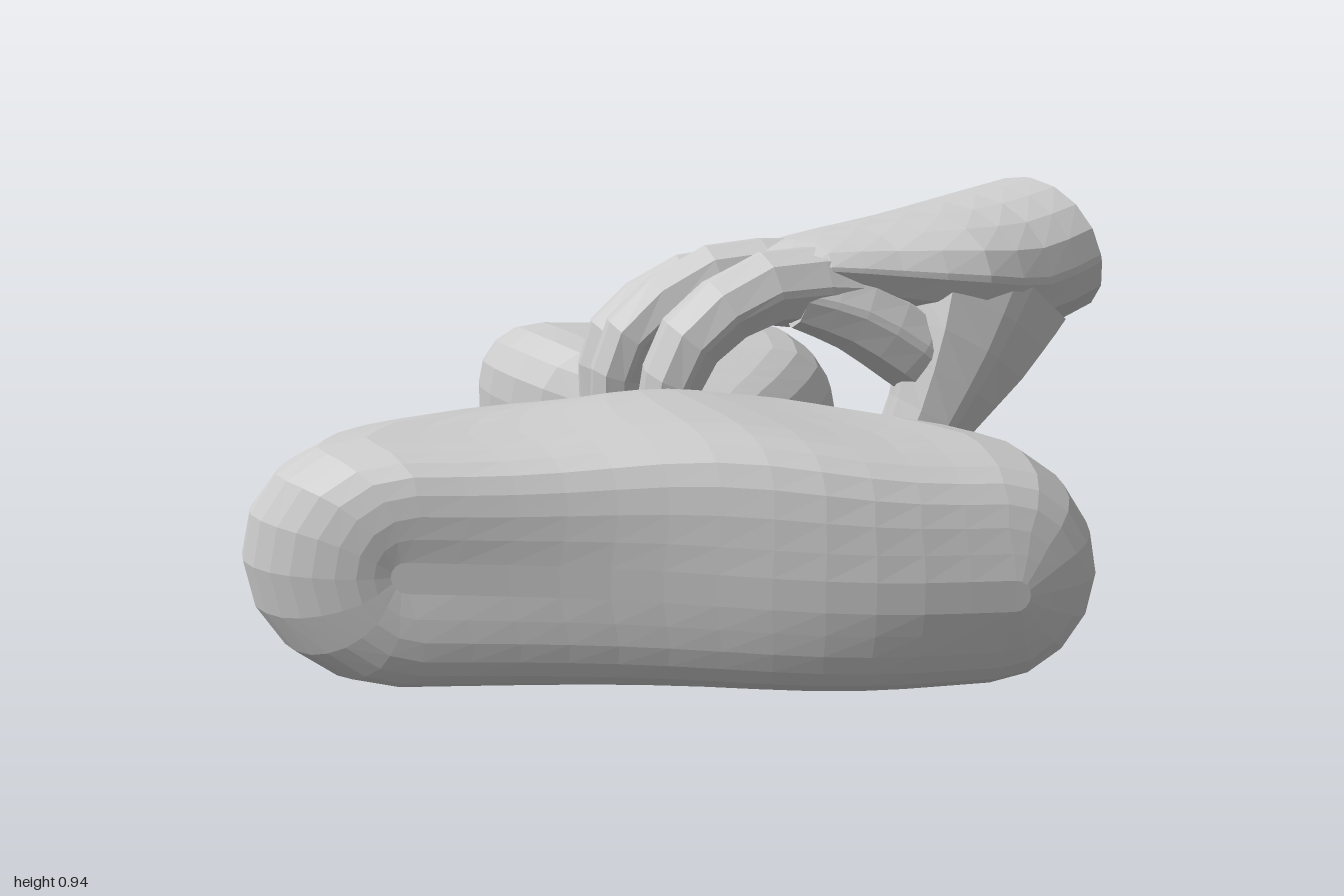
import * as THREE from 'three';

const V3 = (a) => new THREE.Vector3(...a);
const { lerp, smoothstep } = THREE.MathUtils;
const material = new THREE.MeshStandardMaterial({ color: 0xcccccc, flatShading: true, side: THREE.DoubleSide });

// rounded-rectangle ring with half axes U and V; kx, ky = rounded share of each axis
function ring(C, U, V, kx, ky, arc, flat) {
  const pts = [], corners = [[1, 1], [-1, 1], [-1, -1], [1, -1]];
  const at = (x, y) => C.clone().addScaledVector(U, x).addScaledVector(V, y);
  corners.forEach(([sx, sy], q) => {
    for (let i = 0; i <= arc; i++) {
      const t = (q + i / arc * 0.998) * Math.PI / 2;
      pts.push(at(sx * (1 - kx) + kx * Math.cos(t), sy * (1 - ky) + ky * Math.sin(t)));
    }
    // extra points along the long top and bottom sides
    if (q % 2 === 0) {
      for (let i = 1; i < flat; i++) pts.push(at(sx * (1 - kx) * (1 - 2 * i / flat), sy));
    }
  });
  return pts;
}

// smooth loft through sections { C, U, V, kx, ky }, closed at both ends; warp adjusts each point
function loft(name, sections, arc, flat, warp = () => {}) {
  const curve = (key) => new THREE.CatmullRomCurve3(sections.map((s) => s[key]), false, 'catmullrom', 0.5);
  const cC = curve('C'), cU = curve('U'), cV = curve('V');
  const n = sections.length - 1, rows = n * 2, pos = [], idx = [];
  let m = 0;
  for (let i = 0; i <= rows; i++) {
    const t = i / rows, f = Math.min(Math.floor(t * n), n - 1), w = t * n - f;
    const mix = (key) => lerp(sections[f][key], sections[f + 1][key], w);
    const pts = ring(cC.getPoint(t), cU.getPoint(t), cV.getPoint(t), mix('kx'), mix('ky'), arc, flat);
    m = pts.length;
    pts.forEach((p) => { warp(p); pos.push(p.x, p.y, p.z); });
  }
  const mid = Math.floor(n / 2);
  const dir = sections[mid + 1].C.clone().sub(sections[mid].C);
  const flip = sections[mid].U.clone().cross(sections[mid].V).dot(dir) < 0;
  const quad = (a, b, c, d) => (flip ? idx.push(a, c, b, b, c, d) : idx.push(a, b, c, b, d, c));
  const last = rows * m;
  for (let j = 0; j < m; j++) {
    const j2 = (j + 1) % m;
    for (let i = 0; i < rows; i++) quad(i * m + j, i * m + j2, (i + 1) * m + j, (i + 1) * m + j2);
  }
  // end caps as strips between the top and bottom halves
  for (let j = 0; j < m / 2 - 1; j++) {
    const o = m - 1 - j;
    quad(j + 1, j, o - 1, o);
    quad(last + j, last + j + 1, last + o, last + o - 1);
  }
  const g = new THREE.BufferGeometry();
  g.setAttribute('position', new THREE.Float32BufferAttribute(pos, 3));
  g.setIndex(idx);
  g.computeVertexNormals();
  const mesh = new THREE.Mesh(g, material);
  mesh.name = name;
  return mesh;
}

// digit swept along a path; rows are x, y, z, radius in z, radius across
function digit(name, rows) {
  const P = rows.map((r) => V3(r)), k = { kx: 0.9, ky: 0.9 };
  const sections = rows.map((r, i) => {
    const T = P[Math.min(i + 1, P.length - 1)].clone().sub(P[Math.max(i - 1, 0)]).normalize();
    const U = new THREE.Vector3(0, 0, 1).addScaledVector(T, -T.z).normalize();
    return { C: P[i], U: U.clone().multiplyScalar(r[3]), V: T.clone().cross(U).multiplyScalar(r[4] ?? r[3]), ...k };
  });
  // rounded tip
  const e = sections[sections.length - 1], p = sections[sections.length - 2];
  const T = e.C.clone().sub(p.C).normalize();
  sections.push({
    C: e.C.clone().addScaledVector(T, e.U.length() * 0.7),
    U: e.U.clone().multiplyScalar(0.45), V: e.V.clone().multiplyScalar(0.45), ...k,
  });
  return loft(name, sections, 2, 1);
}

export function createModel() {
  const model = new THREE.Group();
  model.name = 'handOnGrip';

  // held body: left x, z, right x, z, bottom, top, corner roundness, sideways stretch of the corners
  const body = [
    [-0.78, 0.415, 0.28, 0.875, 0.29, 0.35, 1, 1],
    [-0.84, 0.40, 0.36, 0.88, 0.20, 0.44, 1, 1],
    [-0.91, 0.355, 0.44, 0.865, 0.13, 0.51, 1, 1],
    [-0.97, 0.285, 0.50, 0.79, 0.09, 0.545, 1, 1],
    [-1.00, 0.20, 0.53, 0.68, 0.085, 0.555, 1, 1],
    [-0.97, 0.12, 0.51, 0.54, 0.09, 0.56, 1, 1.2],
    [-0.87, 0.045, 0.46, 0.43, 0.10, 0.56, 1, 1.5],
    [-0.68, 0.03, 0.42, 0.32, 0.11, 0.55, 1, 1.7],
    [-0.40, 0.06, 0.40, 0.20, 0.115, 0.52, 1, 1.5],
    [-0.19, -0.01, 0.39, 0.10, 0.11, 0.48, 1, 1.2],
    [-0.01, -0.13, 0.37, -0.05, 0.10, 0.46, 0.9, 1],
    [0.03, -0.27, 0.38, -0.20, 0.09, 0.45, 0.85, 1],
    [-0.01, -0.42, 0.51, -0.32, 0.06, 0.47, 0.8, 1],
    [-0.12, -0.56, 0.63, -0.42, 0.03, 0.51, 0.7, 1],
    [-0.19, -0.71, 0.66, -0.54, 0.015, 0.54, 0.65, 1],
    [-0.18, -0.82, 0.645, -0.63, 0.025, 0.53, 0.6, 1],
    [-0.09, -0.90, 0.56, -0.68, 0.11, 0.45, 0.6, 1],
  ].map(([lx, lz, rx, rz, y0, y1, k, stretch]) => {
    const U = V3([(rx - lx) / 2, -0.02, (rz - lz) / 2]), h = (y1 - y0) / 2;
    return {
      C: V3([(lx + rx) / 2, (y0 + y1) / 2, (lz + rz) / 2]), U, V: V3([0, h, 0]),
      kx: Math.min(1, k * stretch * Math.min(1, h / U.length())), ky: k * Math.min(1, U.length() / h),
    };
  });
  // bowed front side and a low hump on top
  const bulge = (p) => {
    const front = smoothstep(p.z, 0.3, 0.7);
    const hump = smoothstep(p.z, 0.05, 0.3) * smoothstep(p.y, 0.35, 0.55);
    p.y += 0.045 * hump * Math.exp(-(((p.x + 0.2) / 0.25) ** 2));
    p.z += 0.065 * front * Math.exp(-(((p.x + 0.02) / 0.3) ** 2));
  };
  model.add(loft('heldBody', body, 4, 12, bulge));

  // hand
  const hand = new THREE.Group();
  hand.name = 'hand';
  const palm = [
    [[0.96, 0.78, -0.045], [0, 0, 0.235], [-0.04, 0.16, 0]],
    [[0.78, 0.74, -0.04], [0, 0.01, 0.29], [-0.02, 0.17, 0]],
    [[0.60, 0.73, -0.055], [0, 0.04, 0.335], [-0.01, 0.15, 0]],
    [[0.42, 0.725, -0.12], [0, 0.06, 0.335], [0, 0.12, 0]],
    [[0.28, 0.72, -0.165], [0, 0.075, 0.32], [0.01, 0.09, 0]],
    [[0.20, 0.715, -0.18], [0, 0.075, 0.28], [0.01, 0.055, 0]],
  ].map(([C, U, V]) => ({ C: V3(C), U: V3(U), V: V3(V), kx: 0.95, ky: 0.95 }));
  hand.add(loft('palm', palm, 4, 1));

  hand.add(digit('indexFinger', [
    [0.40, 0.74, 0.08, 0.10, 0.08], [0.17, 0.75, 0.07, 0.09, 0.08], [0.00, 0.645, 0.04, 0.085, 0.07],
    [-0.05, 0.47, 0.015, 0.07, 0.06], [-0.02, 0.29, -0.02, 0.05],
  ]));
  hand.add(digit('middleFinger', [
    [0.38, 0.74, -0.10, 0.095, 0.08], [0.14, 0.745, -0.13, 0.085, 0.075], [-0.04, 0.62, -0.18, 0.072, 0.065],
    [-0.07, 0.44, -0.20, 0.06], [-0.02, 0.25, -0.20, 0.048],
  ]));
  hand.add(digit('ringFinger', [
    [0.38, 0.71, -0.25, 0.09, 0.075], [0.15, 0.705, -0.30, 0.078, 0.07], [-0.01, 0.59, -0.35, 0.065],
    [-0.035, 0.42, -0.36, 0.055], [0.00, 0.23, -0.33, 0.044],
  ]));
  hand.add(digit('littleFinger', [
    [0.43, 0.68, -0.375, 0.07, 0.065], [0.19, 0.66, -0.465, 0.062], [0.08, 0.57, -0.47, 0.054],
    [0.045, 0.44, -0.44, 0.048], [0.05, 0.28, -0.40, 0.04],
  ]));
  // thumb with a broad root, and the web joining it to the index finger
  hand.add(digit('thumb', [
    [0.68, 0.72, 0.13, 0.14, 0.23], [0.60, 0.59, 0.175, 0.11, 0.165], [0.52, 0.46, 0.18, 0.095, 0.10],
    [0.46, 0.33, 0.155, 0.088, 0.075], [0.40, 0.21, 0.125, 0.068, 0.055], [0.34, 0.12, 0.055, 0.036], [0.32, 0.08, 0.025, 0.028],
  ]));
  hand.add(digit('thumbWeb', [
    [0.24, 0.73, 0.09, 0.07, 0.07], [0.36, 0.69, 0.12, 0.085, 0.085],
    [0.48, 0.61, 0.15, 0.095, 0.09], [0.56, 0.53, 0.17, 0.08, 0.07],
  ]));
  model.add(hand);
  return model;
}
